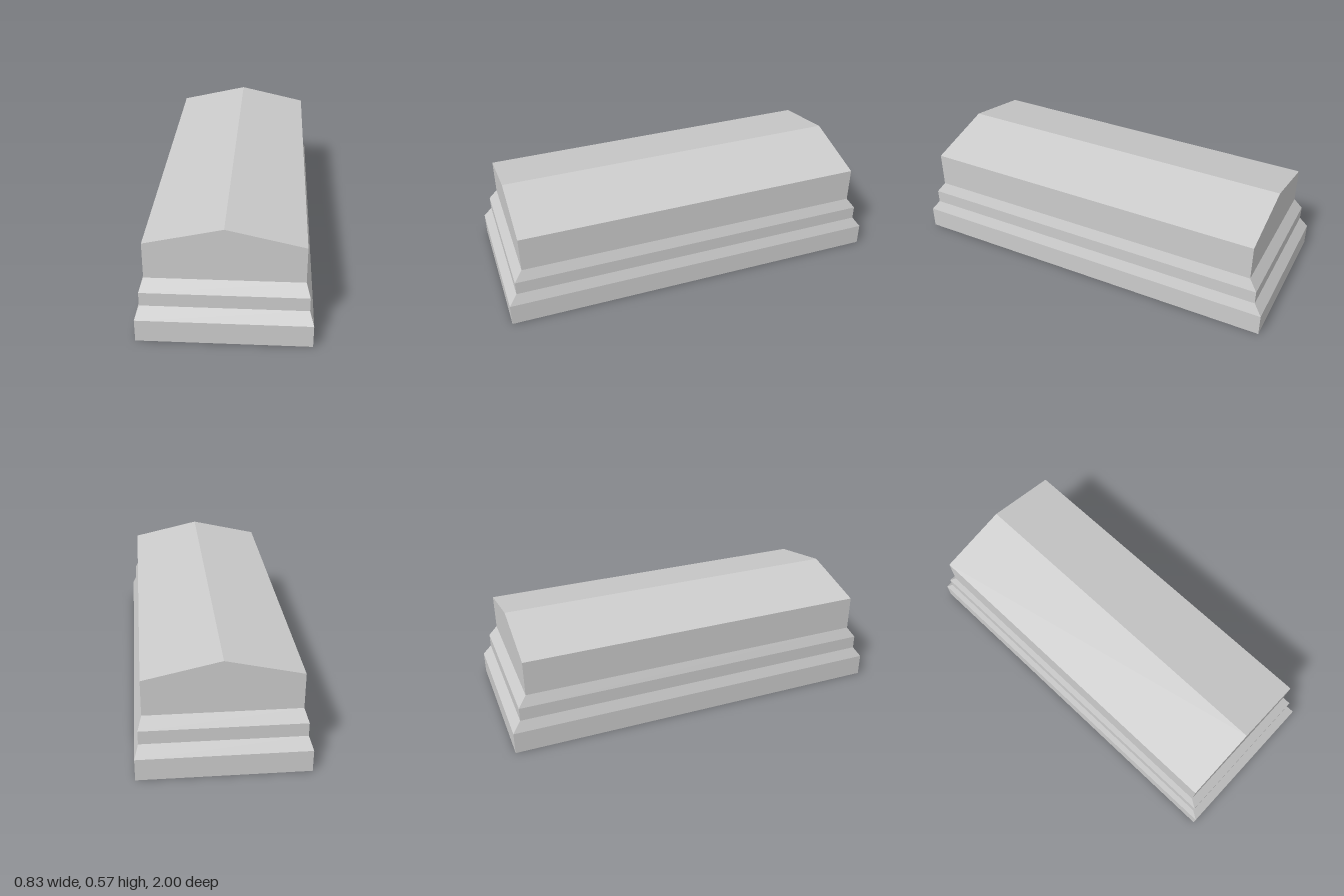
import * as THREE from 'three';

// Cross-sections of the stepped base: [height, half width, half length]
const SECTIONS = [
  [0, 0.416, 1],
  [0.115, 0.416, 1],
  [0.171, 0.396, 0.957],
  [0.241, 0.396, 0.957],
  [0.298, 0.376, 0.914],
];
const EAVES = 0.481;
const RIDGE = 0.566;

// Lofts rectangular sections into a faceted shell, closed underneath
function loftRectangles(sections) {
  const corners = [[1, 1], [1, -1], [-1, -1], [-1, 1]];
  const positions = [];
  const index = [0, 2, 1, 0, 3, 2];
  sections.forEach(([y, w, l], s) => {
    for (const [sx, sz] of corners) positions.push(sx * w, y, sz * l);
    if (s === 0) return;
    for (let i = 0; i < 4; i++) {
      const j = (i + 1) % 4;
      const lo = (s - 1) * 4, hi = s * 4;
      index.push(lo + i, lo + j, hi + j, lo + i, hi + j, hi + i);
    }
  });
  const indexed = new THREE.BufferGeometry();
  indexed.setAttribute('position', new THREE.Float32BufferAttribute(positions, 3));
  indexed.setIndex(index);
  const geometry = indexed.toNonIndexed();
  geometry.computeVertexNormals();
  return geometry;
}

export function createModel() {
  const group = new THREE.Group();
  group.name = 'gabledBlock';
  const material = new THREE.MeshStandardMaterial({ color: 0xcccccc, flatShading: true });

  // Stepped base with two sloped ledges on all four sides
  const base = new THREE.Mesh(loftRectangles(SECTIONS), material);
  base.name = 'steppedBase';
  group.add(base);

  // Upper block with a low gabled top running front to back
  const [bottom, w, l] = SECTIONS[SECTIONS.length - 1];
  const profile = new THREE.Shape([
    new THREE.Vector2(-w, bottom),
    new THREE.Vector2(w, bottom),
    new THREE.Vector2(w, EAVES),
    new THREE.Vector2(0, RIDGE),
    new THREE.Vector2(-w, EAVES),
  ]);
  const geometry = new THREE.ExtrudeGeometry(profile, { depth: 2 * l, bevelEnabled: false });
  geometry.translate(0, 0, -l);
  const lid = new THREE.Mesh(geometry, material);
  lid.name = 'gabledTop';
  group.add(lid);

  return group;
}
